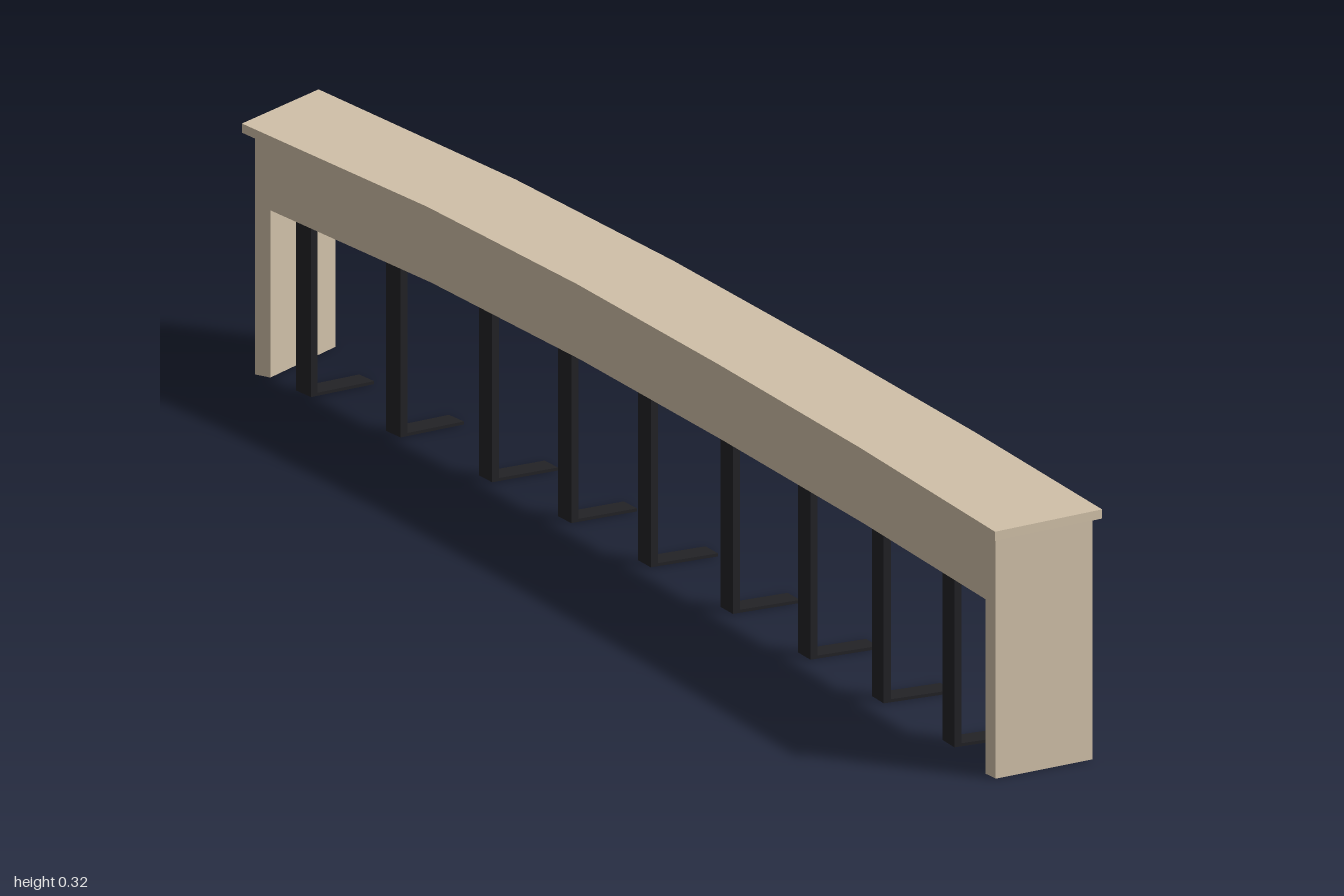
import * as THREE from 'three';

const wood = new THREE.MeshStandardMaterial({ color: 0xd0c0a8 });
const steel = new THREE.MeshStandardMaterial({ color: 0x222226 });

const TOP = 0.3245, UNDER = 0.3125;

// plan outline of the curved top, [x, z] from back to front
const innerEdge = [[-0.2, -0.906], [-0.114, -0.503], [-0.06, -0.14], [-0.02, 0.23], [0.015, 0.61], [0.042, 0.995]];
const outerEdge = [[-0.059, -1], [0.03, -0.566], [0.087, -0.185], [0.135, 0.238], [0.172, 0.608], [0.2, 0.96]];

// upright prism from a plan outline
function prism(name, outline, y0, y1) {
  const shape = new THREE.Shape(outline.map(([x, z]) => new THREE.Vector2(x, -z)));
  const geo = new THREE.ExtrudeGeometry(shape, { depth: y1 - y0, bevelEnabled: false });
  geo.rotateX(-Math.PI / 2).translate(0, y0, 0);
  const mesh = new THREE.Mesh(geo, wood);
  mesh.name = name;
  return mesh;
}

// x and slope of the inner edge at a given z
function edgeAt(z) {
  let i = 0;
  while (i < innerEdge.length - 2 && z > innerEdge[i + 1][1]) i++;
  const [x0, z0] = innerEdge[i], [x1, z1] = innerEdge[i + 1];
  const slope = (x1 - x0) / (z1 - z0);
  return { x: x0 + slope * (z - z0), slope };
}

function box(name, w, h, d, x, y) {
  const mesh = new THREE.Mesh(new THREE.BoxGeometry(w, h, d), steel);
  mesh.name = name;
  mesh.position.set(x, y, 0);
  return mesh;
}

export function createModel() {
  const model = new THREE.Group();
  model.name = 'curvedCounter';

  model.add(prism('counterTop', [...innerEdge, ...[...outerEdge].reverse()], UNDER, TOP));

  // end panels, parallel to the slanted ends
  model.add(prism('frontEndPanel', [[0.045, 0.99], [0.186, 0.962], [0.182, 0.938], [0.041, 0.966]], 0, UNDER));
  model.add(prism('backEndPanel', [[-0.189, -0.89], [-0.066, -0.976], [-0.054, -0.957], [-0.176, -0.871]], 0, UNDER));

  // apron following the inner edge
  const stations = [-0.88, ...innerEdge.slice(1, -1).map((p) => p[1]), 0.965];
  const offset = (d) => stations.map((z) => [edgeAt(z).x + d, z]);
  model.add(prism('apron', [...offset(0.005), ...offset(0.0135).reverse()], 0.225, UNDER));

  // L-shaped steel legs, square to the curve
  for (const z of [-0.795, -0.6, -0.387, -0.195, 0.01, 0.225, 0.435, 0.635, 0.835]) {
    const { x, slope } = edgeAt(z);
    const leg = new THREE.Group();
    leg.name = 'leg';
    leg.add(box('post', 0.01, UNDER, 0.033, 0, UNDER / 2));
    leg.add(box('foot', 0.085, 0.004, 0.033, 0.0475, 0.002));
    leg.position.set(x + 0.0185, 0, z);
    leg.rotation.y = Math.atan(slope);
    model.add(leg);
  }
  return model;
}
